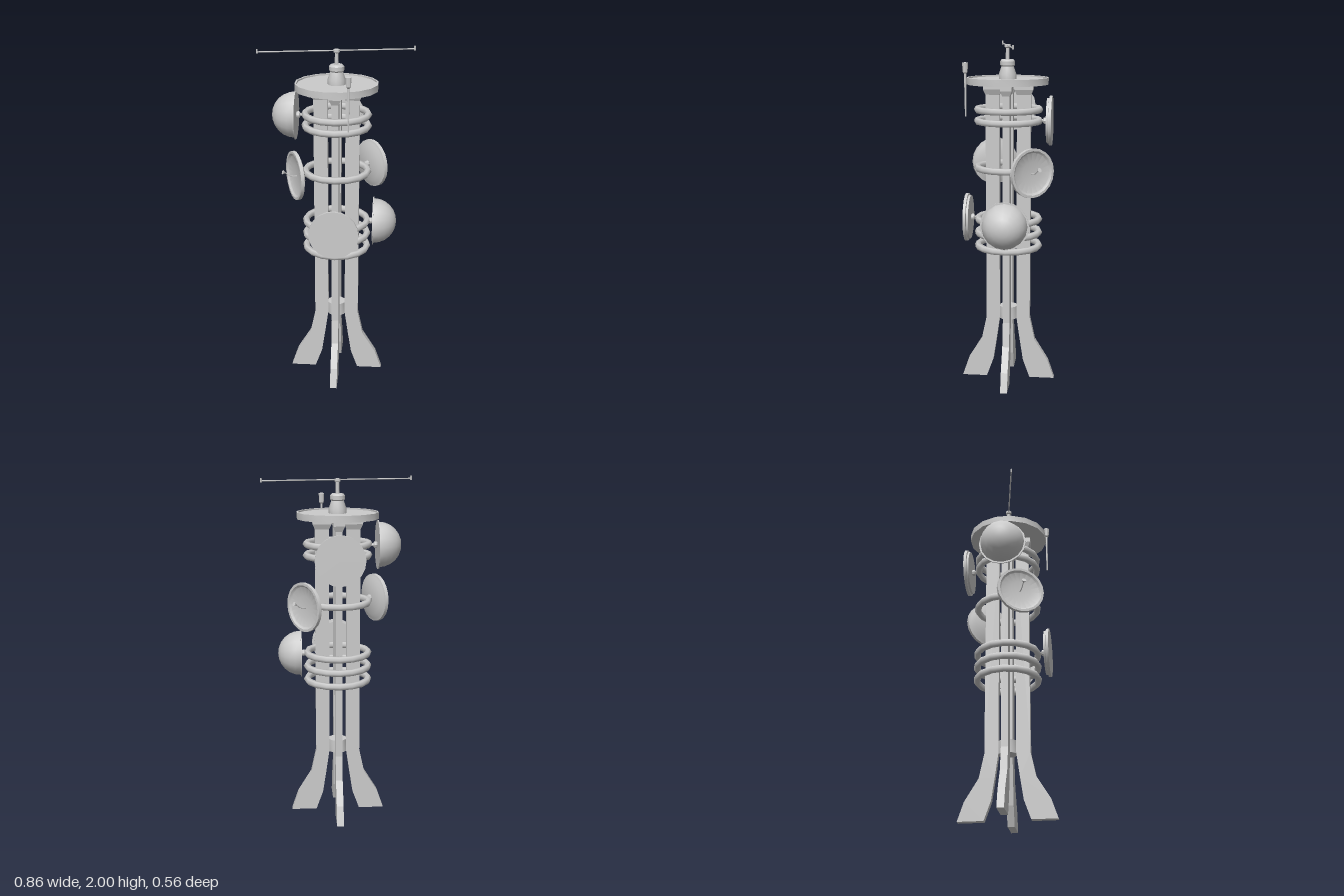
import * as THREE from 'three';
import { toCreasedNormals } from 'three/addons/utils/BufferGeometryUtils.js';

const grey = new THREE.MeshStandardMaterial({ color: 0xcccccc });

function add(parent, name, geometry, x = 0, y = 0, z = 0) {
  const mesh = new THREE.Mesh(geometry, grey);
  mesh.name = name;
  mesh.position.set(x, y, z);
  parent.add(mesh);
  return mesh;
}

// Turned part: profile of [radius, height] pairs from bottom to top
function turned(profile, sides = 16) {
  const points = profile.map(([r, h]) => new THREE.Vector2(r, h));
  return toCreasedNormals(new THREE.LatheGeometry(points, sides), 0.6);
}

// Same, with its axis pointing outward along +z
const turnedOut = (profile, sides) => turned(profile, sides).rotateX(Math.PI / 2);

// Group on the tower's side whose local +z points away from the axis
function outward(parent, name, degrees, radius, y) {
  const group = new THREE.Group();
  const a = THREE.MathUtils.degToRad(degrees);
  group.name = name;
  group.position.set(Math.sin(a) * radius, y, Math.cos(a) * radius);
  group.rotation.y = a;
  parent.add(group);
  return group;
}

// Short ball-ended strut from a dish back to the ring behind it
function addMount(group, length) {
  add(group, 'mount', turnedOut([[0, -length], [0.008, -length], [0.009, -0.024], [0.019, -0.018], [0.019, -0.006], [0.012, 0.002]], 8));
}

function addDome(parent, degrees, radius, y) {
  const group = outward(parent, 'domeAntenna', degrees, radius, y);
  const profile = [[0, 0], [0.141, 0], [0.141, 0.006], [0.131, 0.006]];
  for (let i = 1; i <= 6; i++) {
    const t = (i / 6) * Math.PI / 2;
    profile.push([0.131 * Math.cos(t), 0.006 + 0.131 * Math.sin(t)]);
  }
  add(group, 'dome', turnedOut(profile));
  addMount(group, radius - 0.18);
}

function addDrum(parent, degrees, y) {
  const group = outward(parent, 'drumAntenna', degrees, 0.222, y);
  add(group, 'drum', turnedOut([[0, 0], [0.13, 0], [0.13, 0.012], [0.142, 0.014], [0.142, 0.03], [0, 0.03]], 20));
  addMount(group, 0.04);
}

function addDish(parent, degrees, y) {
  const group = outward(parent, 'dishAntenna', degrees, 0.225, y);
  add(group, 'dish', turnedOut([
    [0, 0], [0.1, 0], [0.125, 0.012], [0.14, 0.016], [0.14, 0.036],
    [0.126, 0.036], [0.115, 0.026], [0.06, 0.018], [0, 0.015]], 20));
  const arm = new THREE.CatmullRomCurve3([
    new THREE.Vector3(0, -0.005, 0.014), new THREE.Vector3(0, 0, 0.05), new THREE.Vector3(0, 0.022, 0.084)]);
  add(group, 'feedArm', new THREE.TubeGeometry(arm, 6, 0.003, 6));
  const horn = add(group, 'feedHorn', new THREE.CylinderGeometry(0.013, 0.003, 0.018, 8), 0, 0.025, 0.091);
  horn.rotation.x = Math.PI / 2 - 0.4;
  addMount(group, 0.045);
}

function addLegs(tower) {
  const shape = new THREE.Shape([
    [0.13, 0], [0.278, 0], [0.24, 0.11], [0.16, 0.24], [0.13, 0.38], [0.13, 1.71],
    [0.05, 1.71], [0.05, 0.38], [0.07, 0.24], [0.09, 0.11]].map(([x, y]) => new THREE.Vector2(x, y)));
  const legGeometry = new THREE.ExtrudeGeometry(shape, { depth: 0.04, bevelEnabled: false }).translate(0, 0, -0.02);

  // Capital: a box on the leg top, its upper corners spread outward
  const capitalGeometry = new THREE.BoxGeometry(0.08, 0.06, 0.04, 1, 2, 1).toNonIndexed();
  const p = capitalGeometry.attributes.position;
  for (let i = 0; i < p.count; i++) {
    if (p.getY(i) < -0.01) continue;
    p.setX(i, p.getX(i) + Math.sign(p.getX(i)) * 0.013);
    p.setZ(i, p.getZ(i) + Math.sign(p.getZ(i)) * 0.013);
  }
  capitalGeometry.computeVertexNormals();

  for (let i = 0; i < 4; i++) {
    const leg = new THREE.Group();
    leg.name = 'leg';
    leg.rotation.y = i * Math.PI / 2;
    add(leg, 'legPlate', legGeometry);
    add(leg, 'capital', capitalGeometry, 0.09, 1.738, 0);
    tower.add(leg);
  }
}

export function createModel() {
  const tower = new THREE.Group();
  tower.name = 'antennaTower';

  // Frame: flared legs, lower hub and hoops
  addLegs(tower);
  add(tower, 'hub', turned([[0, -0.038], [0.055, -0.038], [0.055, 0.038], [0, 0.038]], 12), 0, 0.412, 0);
  const ringGeometry = new THREE.TorusGeometry(0.18, 0.02, 6, 16).rotateX(Math.PI / 2);
  for (const y of [0.825, 0.905, 0.985, 1.29, 1.56, 1.625]) add(tower, 'ring', ringGeometry, 0, y, 0);

  // Top platform with a shallow lip
  const platform = turned([[0, 1.768], [0.235, 1.768], [0.235, 1.806], [0.225, 1.806], [0.225, 1.797], [0, 1.797]]);
  add(tower, 'platform', platform.rotateY(Math.PI / 16), 0, 0, 0.004);

  // Beacon housing and mast
  add(tower, 'beacon', turned([
    [0.05, 1.795], [0.05, 1.825], [0.036, 1.868], [0.042, 1.875], [0.042, 1.897],
    [0.034, 1.907], [0.011, 1.907], [0.01, 1.97], [0.018, 1.975], [0.018, 1.99], [0, 1.992]], 12), 0, 0, 0.005);

  // Long crossbar with upturned tips
  const crossbar = new THREE.Group();
  crossbar.name = 'crossbar';
  crossbar.position.set(0, 1.984, 0.006);
  crossbar.rotation.y = 0.175;
  add(crossbar, 'bar', new THREE.CylinderGeometry(0.004, 0.004, 0.87, 6).rotateZ(Math.PI / 2));
  for (const side of [-1, 1]) {
    add(crossbar, 'tip', new THREE.CylinderGeometry(0.005, 0.005, 0.024, 6), side * 0.433, 0.004, 0);
  }
  tower.add(crossbar);

  // Whip aerial on the platform edge
  add(tower, 'whip', turned([
    [0, 1.59], [0.004, 1.59], [0.007, 1.83], [0.014, 1.838], [0.017, 1.89], [0, 1.895]], 10), 0.08, 0, 0.236);

  // Antennas around the frame
  addDome(tower, -90, 0.228, 1.617);
  addDome(tower, 90, 0.212, 0.985);
  addDrum(tower, 0, 0.988);
  addDrum(tower, 180, 1.562);
  addDish(tower, -65, 1.29);
  addDish(tower, 128, 1.29);

  return tower;
}
